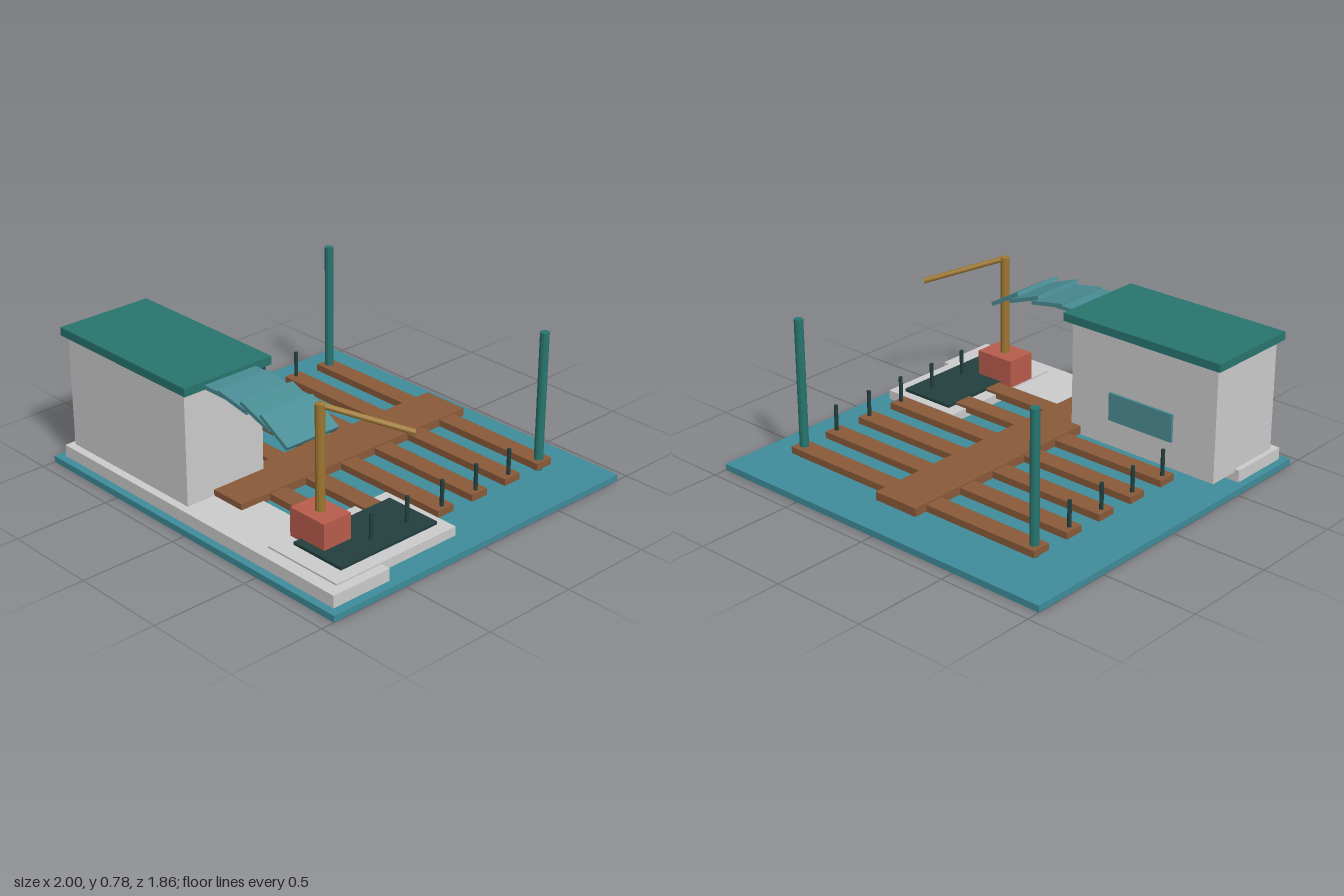
import * as THREE from 'three';

const mat = (color) => new THREE.MeshStandardMaterial({ color, flatShading: true });

export function createModel() {
  const model = new THREE.Group();
  const grey = mat(0xcccccc), water = mat(0x3f8c9a), teal = mat(0x28756f), wood = mat(0x8a5a3a);
  const red = mat(0xb85c4c), brass = mat(0x9c7630), dark = mat(0x223f3e), pale = mat(0x4a8c94);

  const add = (name, geometry, material) => {
    const mesh = new THREE.Mesh(geometry, material);
    mesh.name = name;
    model.add(mesh);
    return mesh;
  };
  // Box given by its extents on each axis
  const box = (name, material, [x0, x1], [y0, y1], [z0, z1]) => {
    const mesh = add(name, new THREE.BoxGeometry(x1 - x0, y1 - y0, z1 - z0), material);
    mesh.position.set((x0 + x1) / 2, (y0 + y1) / 2, (z0 + z1) / 2);
    return mesh;
  };
  // Round bar between two points
  const bar = (name, material, from, to, radius, sides = 12) => {
    const a = new THREE.Vector3(...from), b = new THREE.Vector3(...to);
    const dir = b.clone().sub(a);
    const mesh = add(name, new THREE.CylinderGeometry(radius, radius, dir.length(), sides), material);
    mesh.position.copy(a).add(b).multiplyScalar(0.5);
    mesh.quaternion.setFromUnitVectors(new THREE.Vector3(0, 1, 0), dir.normalize());
    return mesh;
  };

  // Water and quay
  box('waterBase', water, [-1, 1], [0, 0.033], [-0.93, 0.93]);
  box('quay', grey, [-0.96, 0.955], [0.033, 0.095], [0.557, 0.89]);
  box('craneApron', grey, [0.46, 0.905], [0.057, 0.104], [0.093, 0.825]);
  box('loadingPad', dark, [0.53, 0.835], [0.104, 0.119], [0.14, 0.735]);

  // Boathouse
  box('houseWalls', grey, [-0.935, -0.07], [0.08, 0.67], [0.387, 0.848]);
  box('houseRoof', teal, [-0.967, -0.038], [0.67, 0.712], [0.353, 0.87]);
  box('backWindow', pale, [-0.69, -0.31], [0.22, 0.365], [0.374, 0.39]);

  // Awning of overlapping slats, each tilted ten degrees further
  const slats = [[0.01, 0.683], [0.152, 0.675], [0.303, 0.659], [0.427, 0.628]];
  slats.forEach(([x, y], i) => {
    const slat = add('awningSlat', new THREE.BoxGeometry(0.2, 0.02, 0.305), pale);
    slat.position.set(x, y, 0.602);
    slat.rotation.z = -THREE.MathUtils.degToRad(10 * i);
  });

  // Jetty with finger piers and mooring posts
  box('jetty', wood, [-0.127, 0.125], [0.083, 0.126], [-0.776, 0.69]);
  for (let i = 0; i < 6; i++) {
    const z = -0.655 + i * 0.2245;
    box('fingerPier', wood, [-0.775, 0.772], [0.083, 0.118], [z - 0.05, z + 0.05]);
    for (const side of [-1, 1]) {
      if (i === 0) bar('tallPile', teal, [side * 0.735, 0.062, z], [side * 0.735, 0.778, z], 0.023);
      else bar('mooringPost', dark, [side * 0.745, 0.11, z], [side * 0.745, 0.252, z], 0.01, 8);
    }
  }

  // Crane
  box('craneBase', red, [0.46, 0.682], [0.104, 0.25], [0.53, 0.692]);
  bar('craneMast', brass, [0.57, 0.25, 0.61], [0.57, 0.772, 0.61], 0.024);
  bar('craneArm', brass, [0.57, 0.765, 0.61], [0.87, 0.647, 0.328], 0.014);

  return model;
}
